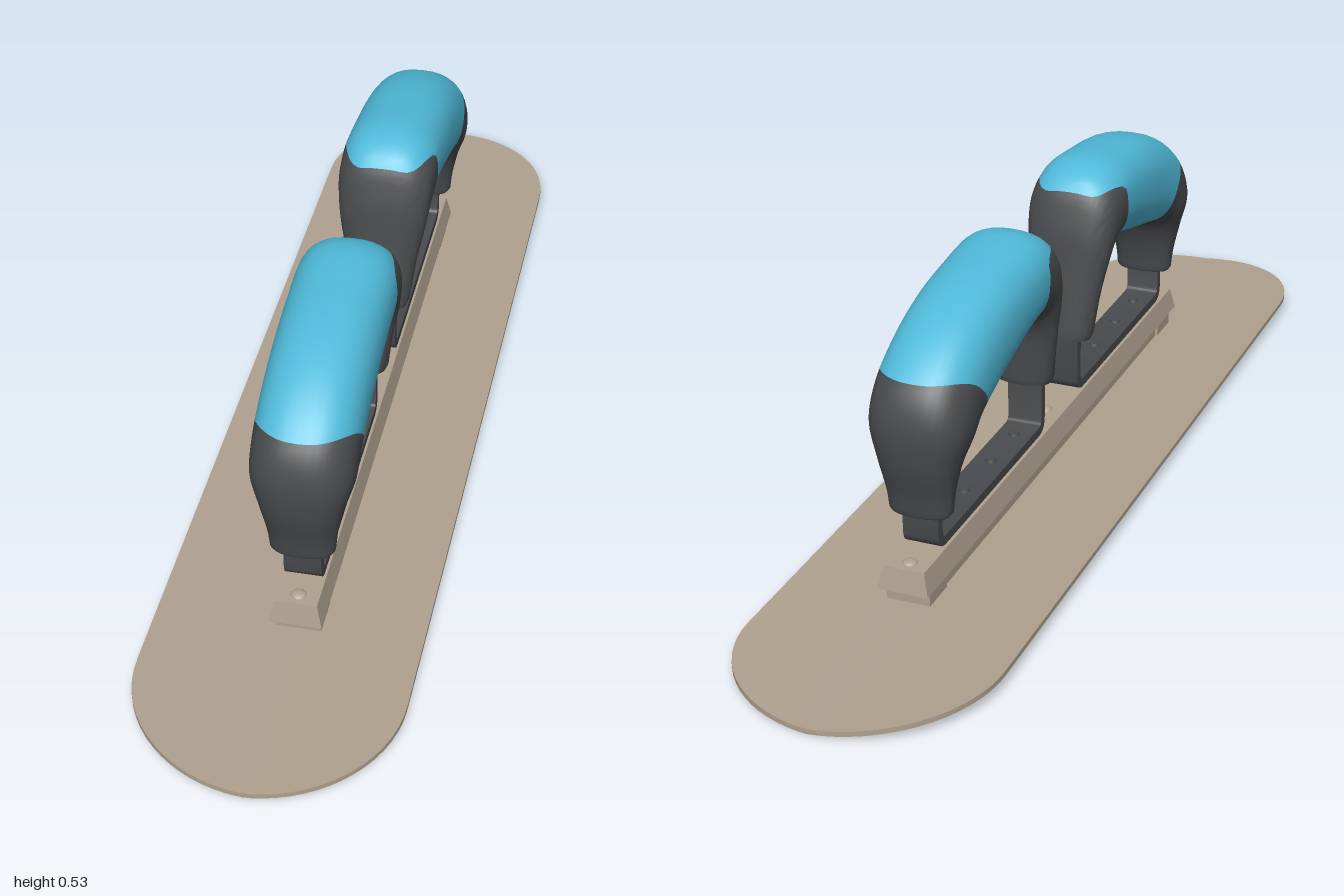
import * as THREE from 'three';
import { toCreasedNormals } from 'three/addons/utils/BufferGeometryUtils.js';

const steel = new THREE.MeshStandardMaterial({ color: 0xb0a18f });
steel.name = 'warm steel';
const rubber = new THREE.MeshStandardMaterial({ color: 0x484a4d });
rubber.name = 'dark grey';
const blue = new THREE.MeshStandardMaterial({ color: 0x4fb9d8 });
blue.name = 'sky blue';

const CX = 0.013; // handles and rail sit slightly off the blade's middle

function add(parent, name, geometry, material, x = 0, y = 0, z = 0) {
  const mesh = new THREE.Mesh(geometry, material);
  mesh.name = name;
  mesh.position.set(x, y, z);
  parent.add(mesh);
  return mesh;
}

// Moves every vertex of a geometry by a rule
function reshape(geometry, rule) {
  const p = geometry.attributes.position;
  const v = new THREE.Vector3();
  for (let i = 0; i < p.count; i++) {
    rule(v.fromBufferAttribute(p, i));
    p.setXYZ(i, v.x, v.y, v.z);
  }
  geometry.computeVertexNormals();
  return geometry;
}

// Long round-ended blade with a shallow lengthwise fold
function bladeGeometry() {
  const R = 0.23;
  return reshape(new THREE.BoxGeometry(2, 1, 2, 16, 1, 72), (v) => {
    v.z = Math.sin((v.z * Math.PI) / 2);
    const d = Math.max(0, Math.abs(v.z) - (1 - R)) / R;
    v.x *= R * Math.sqrt(Math.max(0, 1 - d * d));
    const a = v.x - 0.01;
    const fold = a < 0 ? -0.1 * a : 0.045 * a;
    v.y = 0.001 + fold + (v.y > 0 ? 0.009 : 0);
  });
}

// Grip stations: outer z, outer y, inner z, inner y, half width
const STATIONS = [
  [0.608, 0.16, 0.547, 0.16, 0.056],
  [0.615, 0.2, 0.541, 0.2, 0.06],
  [0.632, 0.265, 0.526, 0.25, 0.072],
  [0.635, 0.34, 0.505, 0.283, 0.088],
  [0.61, 0.402, 0.47, 0.3, 0.09],
  [0.54, 0.46, 0.41, 0.313, 0.09],
  [0.43, 0.503, 0.34, 0.33, 0.09],
  [0.31, 0.521, 0.27, 0.35, 0.09],
  [0.2, 0.525, 0.22, 0.358, 0.09],
  [0.142, 0.495, 0.185, 0.348, 0.088],
  [0.115, 0.43, 0.163, 0.315, 0.081],
  [0.1, 0.33, 0.155, 0.27, 0.068],
  [0.083, 0.2, 0.15, 0.2, 0.055],
];
const LAST = STATIONS.length - 1;
const outer = new THREE.CatmullRomCurve3(STATIONS.map((s) => new THREE.Vector3(s[4], s[1], s[0])));
const inner = new THREE.CatmullRomCurve3(STATIONS.map((s) => new THREE.Vector3(s[4], s[3], s[2])));

const soft = (c) => Math.sign(c) * Math.pow(Math.abs(c), 0.82);

// Point on the grip: t along it, a around it (0 = outer side), k = scale of the section
function gripPoint(t, a, k) {
  const o = outer.getPoint(t / LAST);
  const i = inner.getPoint(t / LAST);
  const w = soft(Math.cos(a)) * k;
  return [
    soft(Math.sin(a)) * o.x * k,
    (o.y + i.y) / 2 + ((o.y - i.y) / 2) * w,
    (o.z + i.z) / 2 + ((o.z - i.z) / 2) * w,
  ];
}

// Colour seams, wavering around the grip
const frontSeam = (a) => 3.95 + 0.13 * Math.cos(a) + 0.5 * Math.pow(Math.sin(a), 2);
const rearSeam = (a) => 7.9 + 1.3 * THREE.MathUtils.smoothstep(Math.cos(a), 0.3, 0.95);

// A stretch of grip between two seams, closed where asked
function gripGeometry(from, to, steps, capStart, capEnd) {
  const N = 40;
  const rings = [];
  if (capStart) rings.push([0, 0], [0, 0.94]);
  for (let i = 0; i <= steps; i++) {
    const start = capStart && i === 0 ? 0.03 : i / steps;
    rings.push([capEnd && i === steps ? 0.97 : start, 1]);
  }
  if (capEnd) rings.push([1, 0.94], [1, 0]);
  const pos = [];
  const index = [];
  rings.forEach(([u, k], r) => {
    for (let j = 0; j < N; j++) {
      const a = (j / N) * Math.PI * 2;
      pos.push(...gripPoint(THREE.MathUtils.lerp(from(a), to(a), u), a, k));
      if (r === 0) continue;
      const n = (j + 1) % N;
      const p = (r - 1) * N;
      const q = r * N;
      index.push(p + j, p + n, q + n, p + j, q + n, q + j);
    }
  });
  const g = new THREE.BufferGeometry();
  g.setAttribute('position', new THREE.Float32BufferAttribute(pos, 3));
  g.setIndex(index);
  return toCreasedNormals(g, 0.9);
}

// Flat strap bent into a U, drawn in the z-y plane and extruded across x
function strapGeometry() {
  const [z0, z1, y0, th, r] = [0.1, 0.584, 0.09, 0.017, 0.03];
  const s = new THREE.Shape();
  s.moveTo(-z0, 0.215);
  s.lineTo(-z0, y0 + r);
  s.quadraticCurveTo(-z0, y0, -z0 - r, y0);
  s.lineTo(-z1 + r, y0);
  s.quadraticCurveTo(-z1, y0, -z1, y0 + r);
  s.lineTo(-z1, 0.18);
  s.lineTo(-z1 + th, 0.18);
  s.lineTo(-z1 + th, y0 + r);
  s.quadraticCurveTo(-z1 + th, y0 + th, -z1 + r, y0 + th);
  s.lineTo(-z0 - r, y0 + th);
  s.quadraticCurveTo(-z0 - th, y0 + th, -z0 - th, y0 + r);
  s.lineTo(-z0 - th, 0.215);
  const g = new THREE.ExtrudeGeometry(s, { depth: 0.066, bevelEnabled: false, curveSegments: 6 });
  g.translate(0, 0, -0.033);
  g.rotateY(Math.PI / 2); // shape x becomes -z
  return toCreasedNormals(g, 0.5);
}

function createHandle(name) {
  const handle = new THREE.Group();
  handle.name = name;
  add(handle, 'frontLegGrip', gripGeometry(() => 0, frontSeam, 24, true, false), rubber);
  add(handle, 'palmGrip', gripGeometry(frontSeam, rearSeam, 32, false, false), blue);
  add(handle, 'rearLegGrip', gripGeometry(rearSeam, () => LAST, 28, false, true), rubber);
  add(handle, 'strap', strapGeometry(), rubber);
  // screws through the strap into the rail
  for (const z of [0.17, 0.28, 0.4, 0.51]) {
    add(handle, 'strapScrew', new THREE.CylinderGeometry(0.009, 0.011, 0.006, 14), rubber, 0, 0.109, z);
  }
  return handle;
}

export function createModel() {
  const model = new THREE.Group();
  model.name = 'floatTrowel';

  add(model, 'blade', toCreasedNormals(bladeGeometry(), 0.5), steel);

  // mounting rail: narrow web, sloped cap and a foot at each end
  add(model, 'railWeb', new THREE.BoxGeometry(0.068, 0.042, 1.2), steel, CX, 0.026, 0.008);
  const cap = reshape(new THREE.BoxGeometry(0.092, 0.042, 1.28), (v) => {
    if (v.y > 0) {
      v.x *= 0.8;
      v.z *= 0.988;
    }
  });
  add(model, 'railCap', toCreasedNormals(cap, 0.2), steel, CX, 0.066, 0.008);
  for (const z of [-0.575, 0.59]) {
    add(model, 'railFoot', new THREE.BoxGeometry(0.08, 0.024, 0.07), steel, CX, 0.028, z);
  }
  for (const z of [-0.6, 0.015, 0.617]) {
    const bolt = new THREE.SphereGeometry(0.014, 16, 6, 0, Math.PI * 2, 0, Math.PI / 2);
    add(model, 'railBolt', bolt.scale(1, 0.5, 1), steel, CX, 0.086, z);
  }

  // two handles facing away from each other
  const front = createHandle('frontHandle');
  front.position.set(CX, 0, 0);
  const back = createHandle('backHandle');
  back.rotation.y = Math.PI;
  back.position.set(CX, 0, 0.03);
  model.add(front, back);

  return model;
}
